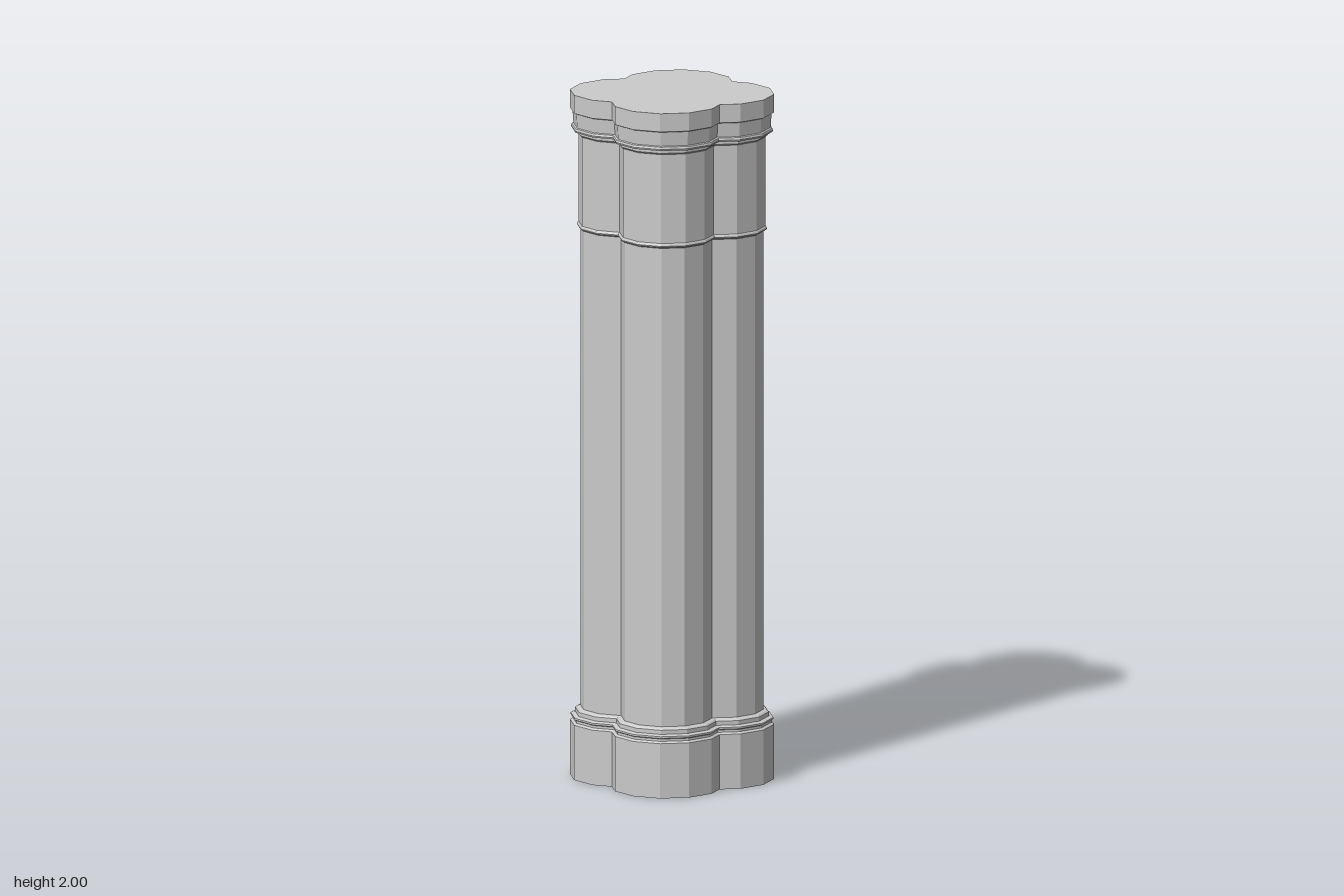
import * as THREE from 'three';

const LOBE_OFFSET = 0.133; // distance of each lobe's centre from the axis

// Quatrefoil outline: four 12-sided lobes of radius r, meeting in notches on the diagonals
function quatrefoil(r) {
  const t = (LOBE_OFFSET - 0.366 * r) / (0.634 * r);
  const notch = LOBE_OFFSET + 0.5 * r * (1 - t);
  const points = [];
  for (let lobe = 0; lobe < 4; lobe++) {
    const turn = lobe * Math.PI / 2;
    const local = [];
    for (let k = -2; k <= 2; k++) {
      const a = k * Math.PI / 6;
      local.push(new THREE.Vector2(LOBE_OFFSET + r * Math.cos(a), r * Math.sin(a)));
    }
    local.push(new THREE.Vector2(notch, notch));
    for (const p of local) points.push(p.rotateAround(new THREE.Vector2(), turn));
  }
  return points;
}

// Stack quatrefoil sections along a [lobeRadius, y] profile and close both ends
function loft(name, profile, material) {
  const positions = [], index = [];
  const n = quatrefoil(0.1).length;
  for (const [r, y] of profile) {
    for (const p of quatrefoil(r)) positions.push(p.x, y, p.y);
  }
  const last = profile.length - 1;
  const bottom = n * profile.length, top = bottom + 1;
  positions.push(0, profile[0][1], 0, 0, profile[last][1], 0);
  for (let i = 0; i < n; i++) {
    const j = (i + 1) % n;
    for (let s = 0; s < last; s++) {
      const a = s * n + i, b = s * n + j;
      index.push(a, a + n, b, b, a + n, b + n);
    }
    index.push(bottom, i, j, top, last * n + j, last * n + i);
  }
  const indexed = new THREE.BufferGeometry();
  indexed.setAttribute('position', new THREE.Float32BufferAttribute(positions, 3));
  indexed.setIndex(index);
  const geometry = indexed.toNonIndexed();
  geometry.computeVertexNormals();
  const mesh = new THREE.Mesh(geometry, material);
  mesh.name = name;
  return mesh;
}

export function createModel() {
  const stone = new THREE.MeshStandardMaterial({ color: 0xcccccc, flatShading: true });
  const column = new THREE.Group();
  column.name = 'clusteredColumn';

  column.add(
    // Plinth with stepped mouldings
    loft('base', [
      [0.16, 0], [0.16, 0.16], [0.152, 0.165], [0.152, 0.172], [0.158, 0.175],
      [0.158, 0.18], [0.145, 0.184], [0.145, 0.196], [0.14, 0.2], [0.13, 0.203],
    ], stone),
    // Long clustered shaft
    loft('shaft', [[0.13, 0.2], [0.13, 1.605]], stone),
    // Thin ring between shaft and neck
    loft('neckRing', [
      [0.13, 1.6], [0.138, 1.604], [0.14, 1.608], [0.138, 1.613], [0.134, 1.616],
    ], stone),
    // Slightly wider neck
    loft('neck', [[0.135, 1.612], [0.135, 1.885]], stone),
    // Capital with bead, flared band and flat top slab
    loft('capital', [
      [0.135, 1.875], [0.141, 1.88], [0.141, 1.888], [0.155, 1.89], [0.157, 1.895],
      [0.155, 1.901], [0.15, 1.903], [0.153, 1.944], [0.16, 1.947], [0.16, 2],
    ], stone),
  );
  return column;
}
